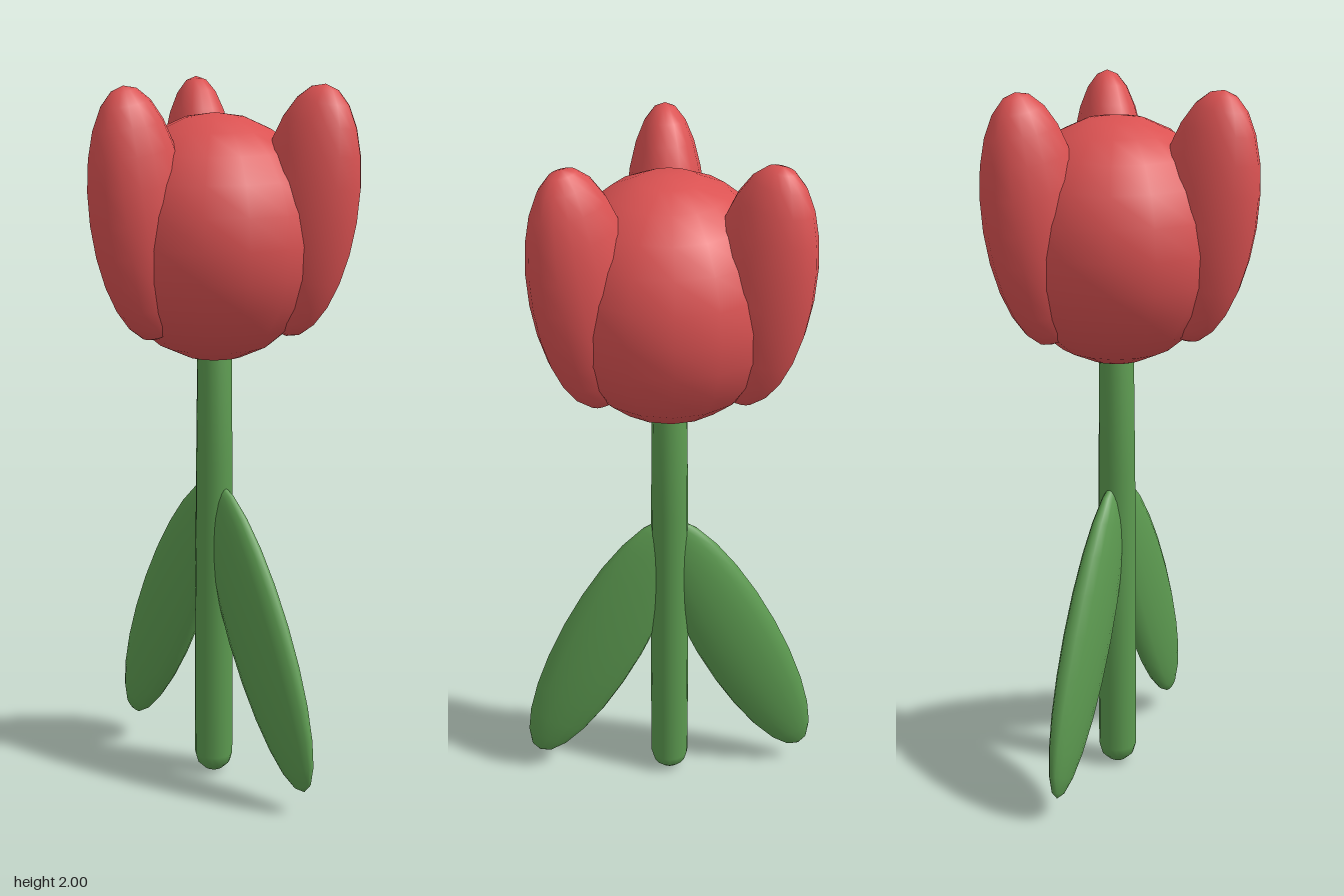
import * as THREE from 'three';

const AXIS_Z = -0.05; // the stem stands slightly behind the middle

function makeMaterial(name, color) {
  const material = new THREE.MeshStandardMaterial({ color });
  material.name = name;
  return material;
}

// Stretched sphere given by its three half-lengths
function ellipsoid(name, material, rx, ry, rz) {
  const geometry = new THREE.SphereGeometry(1, 16, 12).scale(rx, ry, rz);
  const mesh = new THREE.Mesh(geometry, material);
  mesh.name = name;
  return mesh;
}

export function createModel() {
  const red = makeMaterial('petal red', 0xdb5252);
  const green = makeMaterial('leaf green', 0x5c9a50);

  const flower = new THREE.Group();
  flower.name = 'flower';
  flower.position.z = AXIS_Z;

  // Stem: slightly tapered rod with a rounded foot
  const profile = [
    [0, 0], [0.027, 0.008], [0.047, 0.027], [0.055, 0.055],
    [0.055, 0.5], [0.052, 0.92], [0.048, 1.3], [0, 1.3],
  ].map(([r, y]) => new THREE.Vector2(r, y));
  const stem = new THREE.Mesh(new THREE.LatheGeometry(profile, 16), green);
  stem.name = 'stem';
  flower.add(stem);

  // Leaves: mirrored flat ellipsoids leaning in to the stem
  for (const side of [1, -1]) {
    const leaf = ellipsoid(side > 0 ? 'leftLeaf' : 'rightLeaf', green, 0.126, 0.455, 0.048);
    leaf.position.set(side * 0.195, 0.475, 0);
    leaf.rotation.z = side * THREE.MathUtils.degToRad(26);
    flower.add(leaf);
  }

  // Bloom core
  const bloom = ellipsoid('bloom', red, 0.312, 0.34, 0.312);
  bloom.position.y = 1.58;
  flower.add(bloom);

  // Three petals around the core, tilted outwards
  ['frontPetal', 'backLeftPetal', 'backRightPetal'].forEach((name, i) => {
    const pivot = new THREE.Group();
    pivot.name = name;
    pivot.rotation.y = (i * Math.PI * 2) / 3;
    const petal = ellipsoid(name + 'Blade', red, 0.11, 0.345, 0.145);
    petal.position.set(0, 1.66, 0.26);
    petal.rotation.x = THREE.MathUtils.degToRad(8.5);
    pivot.add(petal);
    flower.add(pivot);
  });

  const model = new THREE.Group();
  model.name = 'model';
  model.add(flower);
  return model;
}
